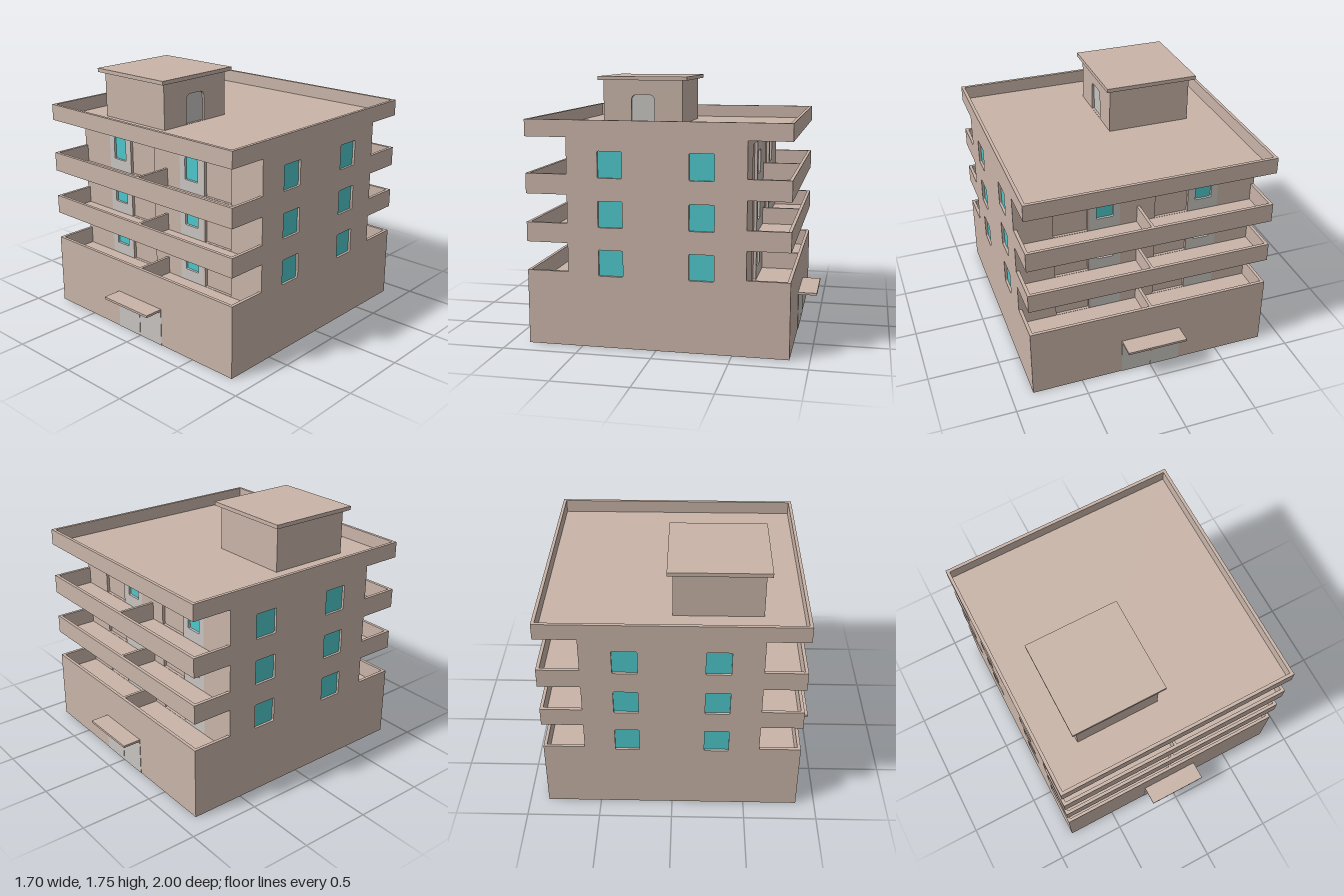
import * as THREE from 'three';

const wallMat = new THREE.MeshStandardMaterial({ color: 0xc9b4a8 });
wallMat.name = 'plaster';
const glassMat = new THREE.MeshStandardMaterial({ color: 0x4ec7cb });
glassMat.name = 'glass';
const doorMat = new THREE.MeshStandardMaterial({ color: 0xc7c4c0 });
doorMat.name = 'door grey';

const W = 0.85, D = 0.87, CORE = 0.59, T = 0.022, INSET = 0.02;
const FLOORS = [0.385, 0.71, 1.03];

function add(parent, name, geo, mat) {
  const mesh = new THREE.Mesh(geo, mat);
  mesh.name = name;
  parent.add(mesh);
  return mesh;
}

// Box given by its minimum and maximum corners
function box(parent, name, x0, x1, y0, y1, z0, z1, mat = wallMat) {
  const geo = new THREE.BoxGeometry(x1 - x0, y1 - y0, z1 - z0);
  return add(parent, name, geo.translate((x0 + x1) / 2, (y0 + y1) / 2, (z0 + z1) / 2), mat);
}

// Rectangle with separate rounding at the top and the bottom
function outline(x0, x1, y0, y1, top = 0, bottom = 0, Type = THREE.Shape) {
  const s = new Type();
  s.moveTo(x0 + bottom, y0);
  s.lineTo(x1 - bottom, y0);
  if (bottom) s.quadraticCurveTo(x1, y0, x1, y0 + bottom);
  s.lineTo(x1, y1 - top);
  if (top) s.quadraticCurveTo(x1, y1, x1 - top, y1);
  s.lineTo(x0 + top, y1);
  if (top) s.quadraticCurveTo(x0, y1, x0, y1 - top);
  s.lineTo(x0, y0 + bottom);
  if (bottom) s.quadraticCurveTo(x0, y0, x0 + bottom, y0);
  return s;
}
const hole = (...a) => outline(a[0], a[1], a[2], a[3], a[4] || 0, a[5] || 0, THREE.Path);

function slab(shape, depth) {
  return new THREE.ExtrudeGeometry(shape, { depth, bevelEnabled: false, curveSegments: 6 });
}

// Balcony wall with doors and recessed bays; outer face at z = 0
function balconyWall() {
  const g = new THREE.Group();
  g.name = 'balconyWall';
  const wall = outline(-W, W, 0.385, 1.4);
  for (const y of FLOORS) {
    const top = y === 1.03 ? 1.34 : y + 0.308;
    for (const [x0, x1] of [[-0.358, -0.12], [0.355, 0.59]]) {
      wall.holes.push(hole(x0, x1, y + 0.002, top));
    }
    for (const x of [-0.471, 0.234]) {
      const door = [x - 0.106, x + 0.106, y + 0.002, y + 0.3, 0.06];
      const pane = [x - 0.059, x + 0.059, y + 0.08, y + 0.24, 0.025, 0.008];
      wall.holes.push(hole(...door));
      const frame = outline(...door);
      frame.holes.push(hole(...pane));
      add(g, 'balconyDoor', slab(frame, INSET), doorMat).position.z = -INSET;
      add(g, 'balconyDoorGlass', new THREE.ShapeGeometry(outline(...pane)), glassMat).position.z = -INSET + 0.003;
    }
  }
  add(g, 'wall', slab(wall, INSET), wallMat).position.z = -INSET;
  return g;
}

// Side wall with recessed windows; outer face at z = 0
function sideWall() {
  const g = new THREE.Group();
  g.name = 'sideWall';
  const half = CORE - INSET;
  const wall = outline(-half, half, 0.385, 1.4);
  for (const y of [0.483, 0.806, 1.13]) {
    for (const x of [-0.3, 0.3]) {
      const pane = [x - 0.082, x + 0.082, y, y + 0.174, 0.01, 0.01];
      wall.holes.push(hole(...pane));
      add(g, 'sideWindow', new THREE.ShapeGeometry(outline(...pane)), glassMat).position.z = -INSET + 0.003;
    }
  }
  add(g, 'wall', slab(wall, INSET), wallMat).position.z = -INSET;
  return g;
}

// Everything on the front: balconies, wall, entrance and canopy
function facade() {
  const g = new THREE.Group();
  g.name = 'facade';
  const wall = balconyWall();
  wall.position.z = CORE;
  g.add(wall);
  const bands = [[0.365, 0.503], [0.695, 0.826], [1.016, 1.15]];
  bands.forEach(([y0, y1], i) => {
    const floor = FLOORS[i];
    if (i > 0) box(g, 'balconyFloor', -W, W, y0, floor, CORE, D);
    const base = i > 0 ? floor : 0.385;
    box(g, 'balconyParapet', -W, W, base, y1, D - T, D);
    for (const s of [-1, 1]) {
      const a = s * W, b = s * (W - T);
      box(g, 'balconyEnd', Math.min(a, b), Math.max(a, b), base, y1, CORE, D - T);
    }
    box(g, 'balconyDivider', -0.01, 0.01, base, y1, CORE, D - T);
  });
  for (const [x0, x1] of [[-0.213, -0.002], [0.002, 0.21]]) {
    box(g, 'entranceDoor', x0, x1, 0, 0.255, D - 0.002, D + 0.003, doorMat);
  }
  box(g, 'entranceCanopy', -0.213, 0.21, 0.254, 0.27, D, 1);
  return g;
}

// Stair house on the roof, with a door on its +x side
function stairHouse() {
  const g = new THREE.Group();
  g.name = 'stairHouse';
  box(g, 'stairHouseBody', -0.595, -0.03, 1.4, 1.73, 0, CORE);
  const wall = outline(-CORE, 0, 1.4, 1.73);
  const door = [-0.382, -0.21, 1.412, 1.62, 0.045];
  wall.holes.push(hole(...door));
  const side = new THREE.Group();
  side.name = 'stairHouseDoorWall';
  add(side, 'wall', slab(wall, INSET), wallMat);
  add(side, 'roofDoor', new THREE.ShapeGeometry(outline(...door)), doorMat).position.z = 0.003;
  side.rotation.y = Math.PI / 2;
  side.position.x = -0.03;
  g.add(side);
  box(g, 'stairHouseRoof', -0.632, 0.02, 1.725, 1.752, -0.036, 0.626);
  return g;
}

export function createModel() {
  const model = new THREE.Group();
  model.name = 'apartmentBlock';

  box(model, 'groundFloor', -W, W, 0, 0.385, -D, D);
  box(model, 'core', -W + INSET, W - INSET, 0.385, 1.4, -CORE + INSET, CORE - INSET);

  // Front and back are alike but for the order of x, so the back is turned and its x kept
  for (const s of [1, -1]) {
    const f = facade();
    f.scale.z = s;
    model.add(f);
    const side = sideWall();
    side.position.x = s * W;
    side.rotation.y = s * Math.PI / 2;
    model.add(side);
  }

  // Flat roof with a parapet all round
  box(model, 'roofSlab', -W + T, W - T, 1.39, 1.41, -D + T, D - T);
  const rim = outline(-W, W, -D, D);
  rim.holes.push(hole(-W + T, W - T, -D + T, D - T));
  const parapet = add(model, 'roofParapet', slab(rim, 0.112), wallMat);
  parapet.rotation.x = -Math.PI / 2;
  parapet.position.y = 1.39;

  model.add(stairHouse());
  return model;
}
